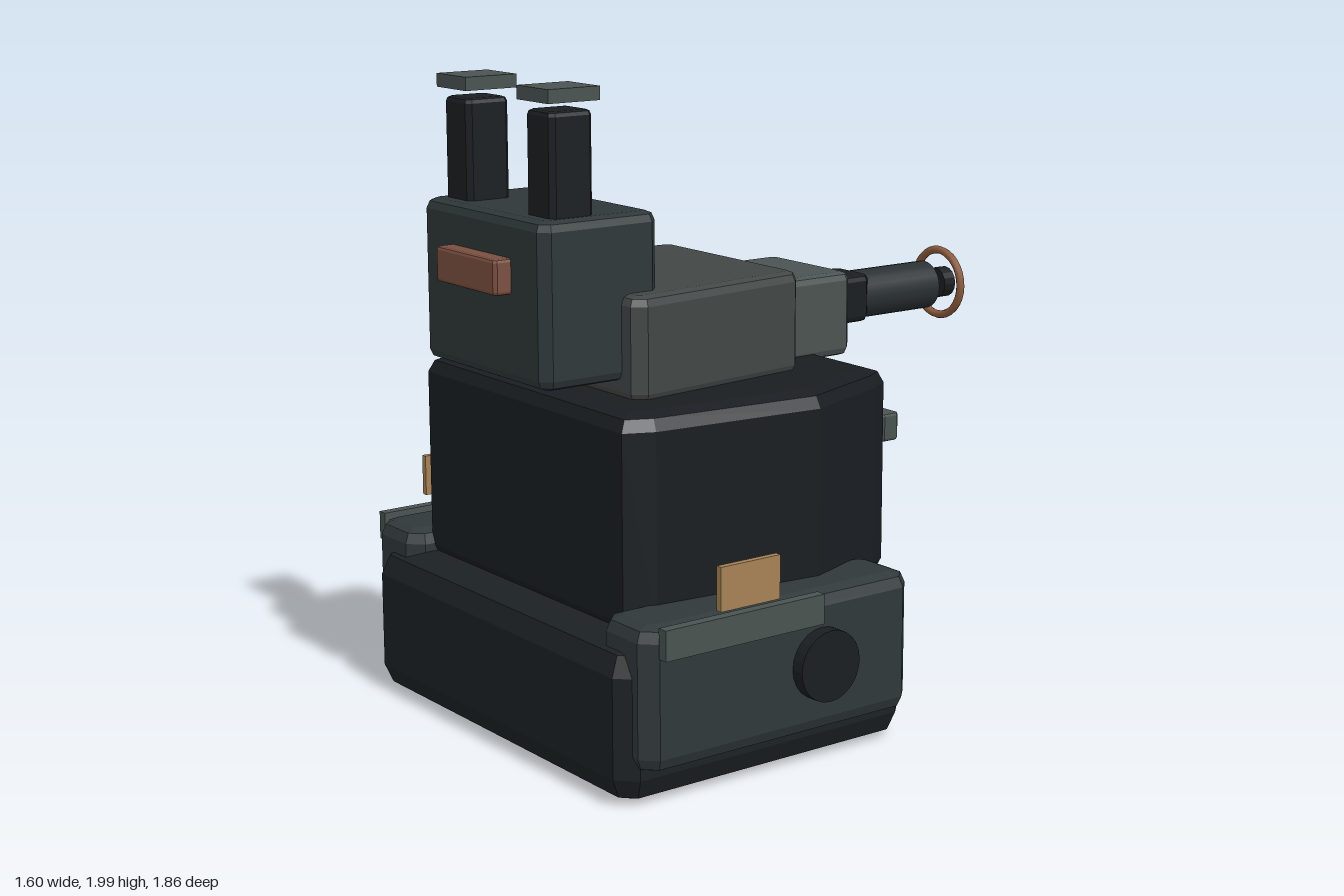
import * as THREE from 'three';

const COLORS = {
  hull: 0x1c2124, body: 0x191d21, pod: 0x30383a, mantle: 0x424746, block: 0x2f3738,
  plate: 0x4a5351, dark: 0x1a1e21, barrel: 0x2a3033, red: 0x7a4f40, copper: 0x8e5c3f, tan: 0xa68256,
};
const mats = {};
for (const key in COLORS) {
  mats[key] = new THREE.MeshStandardMaterial({ color: COLORS[key], flatShading: true });
}
const smoothBarrel = new THREE.MeshStandardMaterial({ color: COLORS.barrel });
const smoothCopper = new THREE.MeshStandardMaterial({ color: COLORS.copper });

export function createModel() {
  const model = new THREE.Group();
  model.name = 'turretVehicle';

  function add(name, geometry, material) {
    const mesh = new THREE.Mesh(geometry, material);
    mesh.name = name;
    model.add(mesh);
    return mesh;
  }

  // Vertical prism from a plan outline [x, z], with bevelled top and bottom rims
  function prism(name, plan, y0, y1, bevel, material, rise = bevel) {
    const shape = new THREE.Shape(plan.map(([x, z]) => new THREE.Vector2(x, z)));
    const geometry = new THREE.ExtrudeGeometry(shape, {
      depth: y1 - y0 - 2 * rise, bevelEnabled: true, bevelSize: bevel,
      bevelThickness: rise, bevelOffset: -bevel, bevelSegments: 2,
    });
    geometry.rotateX(Math.PI / 2).translate(0, y1 - rise, 0);
    return add(name, geometry, material);
  }

  // Full plan from its +x half, listed from back to front
  const mirrored = (half) => [...half, ...half.map(([x, z]) => [-x, z]).reverse()];

  // Box with chamfered upright corners and bevelled rims
  function block(name, [x0, x1], [y0, y1], [z0, z1], bevel, material, corner = bevel) {
    const c = corner;
    return prism(name, [
      [x0 + c, z0], [x1 - c, z0], [x1, z0 + c], [x1, z1 - c],
      [x1 - c, z1], [x0 + c, z1], [x0, z1 - c], [x0, z0 + c],
    ], y0, y1, bevel, material);
  }

  function box(name, [x0, x1], [y0, y1], [z0, z1], material) {
    const geometry = new THREE.BoxGeometry(x1 - x0, y1 - y0, z1 - z0);
    geometry.translate((x0 + x1) / 2, (y0 + y1) / 2, (z0 + z1) / 2);
    return add(name, geometry, material);
  }

  // Cylinder lying along z
  function rod(name, radius, y, z0, z1, sides, material, backRadius = radius) {
    const geometry = new THREE.CylinderGeometry(radius, backRadius, z1 - z0, sides);
    geometry.rotateX(Math.PI / 2).translate(0, y, (z0 + z1) / 2);
    return add(name, geometry, material);
  }

  // Hull and turret body
  block('hull', [-0.69, 0.69], [0.01, 0.48], [-0.185, 0.87], 0.085, mats.hull, 0.055);
  prism('turretBody', mirrored([
    [0.455, -0.27], [0.5, -0.2], [0.615, 0.11], [0.56, 0.66], [0.52, 0.75],
  ]), 0.45, 1.105, 0.06, mats.body, 0.05);

  // Upper deck and raised front housing
  prism('upperDeck', mirrored([
    [0.3, -0.05], [0.335, -0.02], [0.4, 0.57], [0.37, 0.61],
  ]), 1.09, 1.405, 0.03, mats.mantle);
  block('frontHousing', [-0.325, 0.325], [1.15, 1.635], [0.47, 0.875], 0.03, mats.block);
  block('frontSensor', [-0.16, 0.16], [1.41, 1.515], [0.86, 0.93], 0.01, mats.red);

  // Gun mount, collar, barrel and muzzle ring
  rod('gunPivot', 0.155, 1.215, -0.1, -0.03, 12, mats.dark, 0.14);
  block('gunMount', [-0.195, 0.195], [1.085, 1.35], [-0.365, -0.04], 0.025, mats.plate);
  block('barrelCollar', [-0.085, 0.085], [1.155, 1.308], [-0.54, -0.34], 0.02, mats.dark, 0.025);
  rod('barrel', 0.078, 1.23, -0.835, -0.36, 24, smoothBarrel);
  const ring = add('muzzleRing', new THREE.TorusGeometry(0.108, 0.013, 8, 32), smoothCopper);
  ring.position.set(0, 1.23, -0.9);
  rod('muzzleDisc', 0.05, 1.23, -0.93, -0.885, 16, mats.dark);

  // Rear storage bin with cross bar and trim
  prism('rearBin', mirrored([
    [0.075, -0.52], [0.17, -0.44], [0.28, -0.27], [0.28, -0.18],
  ]), 0.61, 0.94, 0.025, mats.block);
  block('rearCrossBar', [-0.395, 0.395], [0.845, 0.935], [-0.39, -0.32], 0.01, mats.plate);
  box('rearTrim', [-0.165, 0.165], [0.93, 0.955], [-0.45, -0.42], mats.copper);

  // Paired parts on each side
  for (const side of [1, -1]) {
    const label = side > 0 ? 'left' : 'right';
    const span = (a, b) => (side > 0 ? [a, b] : [-b, -a]);

    block(label + 'Post', span(0.15, 0.285), [1.61, 1.935], [0.67, 0.815], 0.015, mats.dark);
    box(label + 'PostCap', span(0.135, 0.295), [1.96, 2], [0.655, 0.83], mats.plate);

    block(label + 'SidePod', span(0.505, 0.745), [0.12, 0.55], [-0.15, 0.83], 0.045, mats.pod);
    box(label + 'SideRail', span(0.747, 0.78), [0.465, 0.555], [0.225, 0.79], mats.plate);
    box(label + 'SidePlate', span(0.78, 0.8), [0.58, 0.71], [0.405, 0.615], mats.tan);

    const hub = new THREE.CylinderGeometry(0.108, 0.108, 0.06, 24);
    hub.rotateZ(Math.PI / 2).translate(side * 0.758, 0.335, 0.205);
    add(label + 'Hub', hub, mats.dark);
  }
  return model;
}
